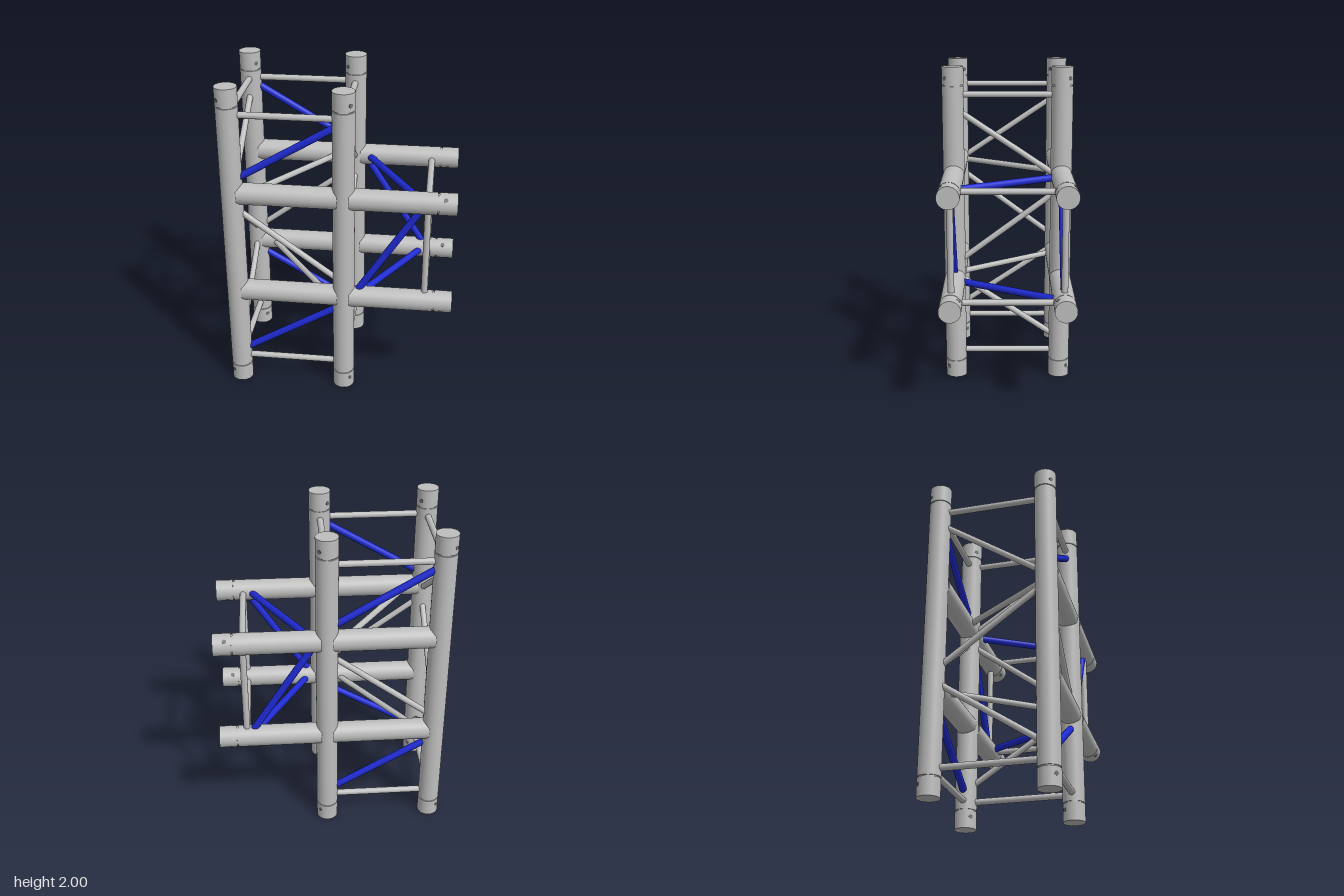
import * as THREE from 'three';

const metal = new THREE.MeshStandardMaterial({ color: 0xbebebe });
metal.name = 'metal grey';
const blue = new THREE.MeshStandardMaterial({ color: 0x1e2ad0 });
blue.name = 'brace blue';
const dark = new THREE.MeshStandardMaterial({ color: 0x6e6e6e });
dark.name = 'hole grey';

const R = 0.0665;             // main pipe radius
const XL = -0.634, XR = 0.034; // column centres in x
const Z = 0.334;              // pipe centres in z
const YL = 0.666, YH = 1.334; // arm heights
const UP = new THREE.Vector3(0, 1, 0);

export function createModel() {
  const model = new THREE.Group();
  model.name = 'trussCorner';

  // Round bar between two points, optionally lengthened into its neighbours
  function rod(name, a, b, r, mat = metal, extra = 0, sides = 20) {
    const p = new THREE.Vector3(...a), q = new THREE.Vector3(...b);
    const dir = q.clone().sub(p);
    const length = dir.length() + 2 * extra;
    const mesh = new THREE.Mesh(new THREE.CylinderGeometry(r, r, length, sides), mat);
    mesh.position.copy(p).add(q).multiplyScalar(0.5);
    mesh.quaternion.setFromUnitVectors(UP, dir.normalize());
    mesh.name = name;
    model.add(mesh);
  }
  const pipe = (name, a, b, r = R) => rod(name, a, b, r, metal, 0, 48);
  const bar = (name, a, b) => rod(name, a, b, 0.02, metal, 0.02);
  const brace = (name, a, b) => rod(name, a, b, 0.019, metal, 0.02);
  const blueBrace = (name, a, b) => rod(name, a, b, 0.022, blue, 0.02);

  // Pin hole showing on both sides of a pipe
  function pinHole(c, d) {
    const n = new THREE.Vector3(...d).normalize();
    for (const s of [-1, 1]) {
      const p = new THREE.Vector3(...c).addScaledVector(n, s * (R - 0.002));
      const q = p.clone().addScaledVector(n, s * 0.003);
      rod('pinHole', p.toArray(), q.toArray(), 0.013, dark);
    }
  }

  // Columns with grooved end collars
  for (const x of [XL, XR]) for (const z of [-Z, Z]) {
    pipe('column', [x, 0.117, z], [x, 1.883, z]);
    pipe('columnCore', [x, 0.1, z], [x, 1.9, z], R - 0.006);
    pipe('bottomCollar', [x, 0, z], [x, 0.11, z]);
    pipe('topCollar', [x, 1.89, z], [x, 2, z]);
    const out = [x === XL ? -1 : 1, 0, Math.sign(z)];
    pinHole([x, 0.07, z], out);
    pinHole([x, 1.93, z], out);
  }

  // Horizontal pipes between the columns, and the side arms
  for (const y of [YL, YH]) for (const z of [-Z, Z]) {
    pipe('crossPipe', [-0.6, y, z], [0, y, z]);
    pipe('arm', [0.07, y, z], [0.585, y, z]);
    pipe('armCore', [0.57, y, z], [0.61, y, z], R - 0.006);
    pipe('armCollar', [0.592, y, z], [0.7, y, z]);
    pinHole([0.63, y, z], [0, y === YL ? -1 : 1, Math.sign(z)]);
  }

  // Thin bars framing each open end
  for (const y of [0.17, 1.83]) {
    for (const z of [-Z, Z]) bar('endBar', [XL + 0.06, y, z], [XR - 0.06, y, z]);
    for (const x of [XL, XR]) bar('endBar', [x, y, -0.27], [x, y, 0.27]);
  }
  for (const y of [YL, YH]) bar('armEndBar', [0.53, y, -0.27], [0.53, y, 0.27]);
  for (const z of [-Z, Z]) bar('armEndBar', [0.53, 0.73, z], [0.53, 1.27, z]);

  // Diagonals in the front and back faces, leaning opposite ways
  for (const s of [1, -1]) {
    const z = s * Z, cx = -0.3, hx = 0.27 * s;
    for (const y of [0.4, 1.61])
      blueBrace('faceBrace', [cx - hx, y - 0.16, z], [cx + hx, y + 0.16, z]);
    brace('middleBrace', [cx - hx, 1.2, z], [cx + hx, 0.8, z]);
    blueBrace('armFaceBrace', [0.305 - 0.17 * s, 0.735, z], [0.305 + 0.17 * s, 1.265, z]);
  }

  // Diagonals in the side faces
  for (const [x, s] of [[XL, 1], [XR, -1]]) {
    const z = 0.27 * s;
    brace('sideBrace', [x, 1.35, z], [x, 1.71, -z]);
    brace('sideBrace', [x, 1.2, z], [x, 0.8, -z]);
    brace('sideBrace', [x, 0.29, z], [x, 0.65, -z]);
  }

  // Diagonals in the level planes of the horizontal pipes
  for (const [y, s] of [[YH, 1], [YL, -1]]) {
    brace('levelBrace', [-0.3 - 0.195 * s, y, 0.27], [-0.3 + 0.195 * s, y, -0.27]);
    blueBrace('armLevelBrace', [0.305 + 0.16 * s, y, 0.27], [0.305 - 0.16 * s, y, -0.27]);
  }
  return model;
}
